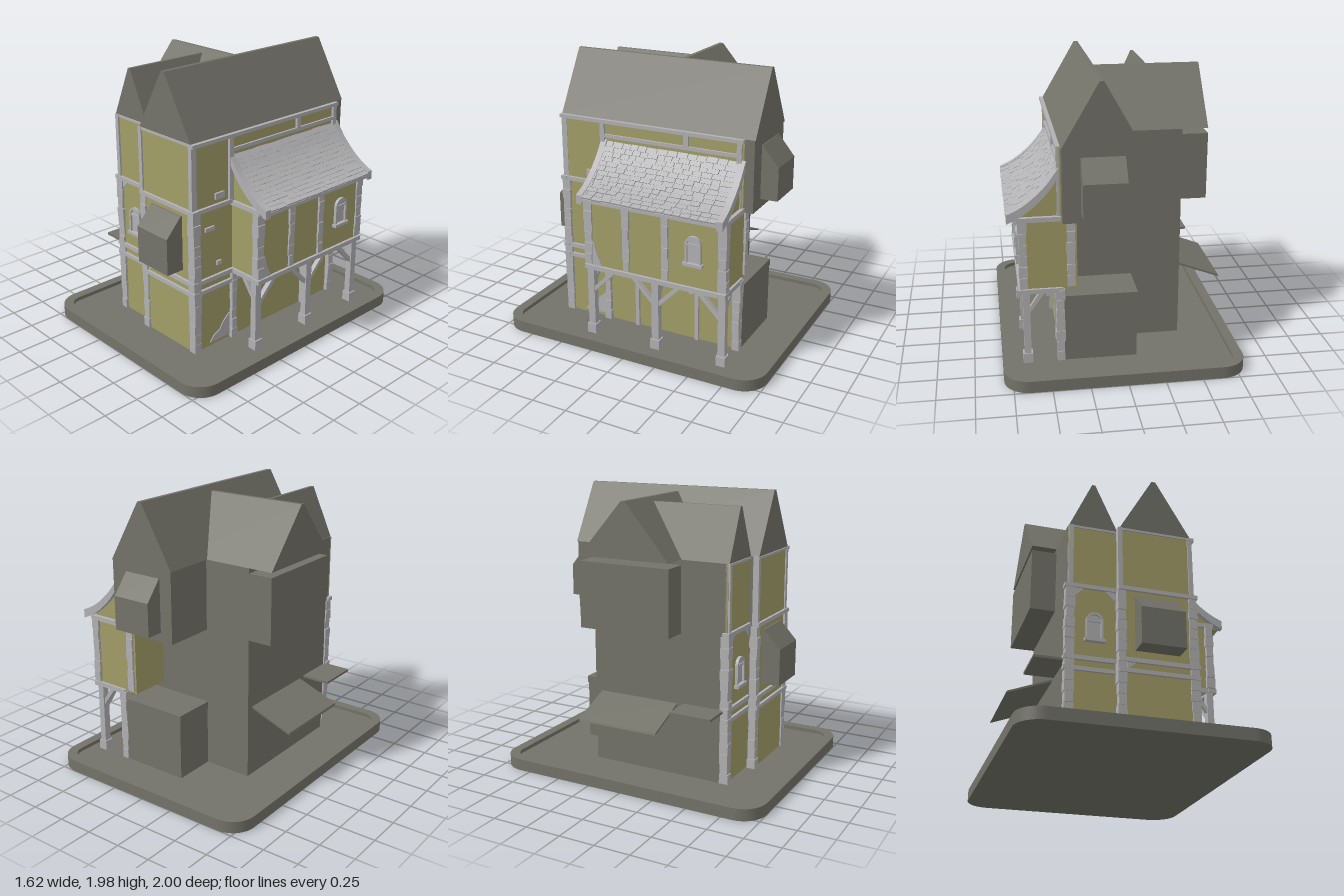
import * as THREE from 'three';

const mat = (name, color) => {
  const m = new THREE.MeshStandardMaterial({ color });
  m.name = name;
  return m;
};

export function createModel() {
  const model = new THREE.Group();
  model.name = 'timberHouse';
  const grey = mat('roofGrey', 0x74736a);
  const plaster = mat('ochrePlaster', 0xa29e68);
  const stone = mat('paleStone', 0xb2b2b4);

  let seed = 7;
  const rnd = () => (seed = (seed * 16807) % 2147483647) / 2147483647;

  const add = (name, geo, m, parent = model) => {
    const mesh = new THREE.Mesh(geo, m);
    mesh.name = name;
    parent.add(mesh);
    return mesh;
  };
  const group = (name) => {
    const g = new THREE.Group();
    g.name = name;
    model.add(g);
    return g;
  };
  // Box given by its limits on each axis
  const block = (name, m, [x0, x1], [y0, y1], [z0, z1], parent) => {
    const g = new THREE.BoxGeometry(x1 - x0, y1 - y0, z1 - z0);
    g.translate((x0 + x1) / 2, (y0 + y1) / 2, (z0 + z1) / 2);
    return add(name, g, m, parent);
  };
  const shapeOf = (pts) => new THREE.Shape(pts.map(([a, b]) => new THREE.Vector2(a, b)));
  const extrude = (shape, depth) =>
    new THREE.ExtrudeGeometry(shape, { depth, bevelEnabled: false, curveSegments: 8 });
  // Profile in x,y swept along z
  const sweepZ = (name, m, pts, z0, z1, parent) =>
    add(name, extrude(shapeOf(pts), z1 - z0).translate(0, 0, z0), m, parent);
  // Profile in z,y swept along x
  const sweepX = (name, m, pts, x0, x1, parent) =>
    add(name, extrude(shapeOf(pts.map(([z, y]) => [-z, y])), x1 - x0)
      .rotateY(Math.PI / 2).translate(x0, 0, 0), m, parent);

  // Base tray with a raised rim
  const rounded = (P, w, d, r) => {
    const s = new P();
    s.moveTo(-w + r, -d);
    s.lineTo(w - r, -d); s.absarc(w - r, -d + r, r, -Math.PI / 2, 0);
    s.lineTo(w, d - r); s.absarc(w - r, d - r, r, 0, Math.PI / 2);
    s.lineTo(-w + r, d); s.absarc(-w + r, d - r, r, Math.PI / 2, Math.PI);
    s.lineTo(-w, -d + r); s.absarc(-w + r, -d + r, r, Math.PI, Math.PI * 1.5);
    return s;
  };
  add('baseFloor', extrude(rounded(THREE.Shape, 0.81, 1, 0.17), 0.055).rotateX(-Math.PI / 2), grey);
  const rim = rounded(THREE.Shape, 0.81, 1, 0.17);
  rim.holes.push(rounded(THREE.Path, 0.74, 0.93, 0.1));
  add('baseRim', extrude(rim, 0.03).rotateX(-Math.PI / 2).translate(0, 0.052, 0), grey);

  // Plain wall volumes
  block('mainBody', grey, [-0.1, 0.4], [0.05, 1.56], [-0.4, 0.67]);
  block('wingBody', grey, [-0.45, -0.1], [0.05, 1.56], [-0.4, 0.61]);
  block('upperBackBody', grey, [-0.1, 0.4], [1.065, 1.56], [-0.765, -0.4]);
  block('sideOverhang', grey, [-0.625, -0.1], [1.065, 1.525], [-0.4, 0.28]);
  block('backShed', grey, [-0.1, 0.4], [0.05, 0.48], [-0.7, -0.4]);
  block('shedLid', grey, [-0.105, 0.4], [0.48, 0.53], [-0.705, -0.4]);
  sweepX('frontOriel', grey, [[0.67, 0.65], [0.81, 0.65], [0.81, 0.91], [0.69, 1.04], [0.67, 1.04]], -0.005, 0.3);
  sweepX('backOriel', grey, [[-0.76, 1.13], [-0.76, 1.5], [-0.77, 1.5], [-0.885, 1.36], [-0.885, 1.13]], -0.005, 0.28);

  // Steep roofs with narrow flat ridges
  const gable = (a0, a1, y, r, w) => [[a0, 1.56], [a1, 1.56], [r + w, y], [r - w, y]];
  sweepZ('mainRoof', grey, gable(-0.107, 0.403, 1.98, 0.145, 0.014), -0.77, 0.685);
  sweepZ('wingRoof', grey, gable(-0.445, -0.107, 1.91, -0.276, 0.011), -0.03, 0.625);
  sweepX('crossRoof', grey, gable(-0.4, 0.28, 1.94, -0.055, 0.014), -0.625, 0.11);

  // Side awnings
  sweepZ('slopedAwning', grey, [[-0.755, 0.44], [-0.75, 0.455], [-0.45, 0.57], [-0.45, 0.555]].reverse(), -0.35, 0.25);
  block('flatAwning', grey, [-0.655, -0.44], [0.56, 0.577], [0.3, 0.6]);

  // Plaster faces and the jettied side room
  const walls = group('plasterWalls');
  block('mainFrontPlaster', plaster, [-0.1, 0.405], [0.05, 1.555], [0.66, 0.678], walls);
  block('wingFrontPlaster', plaster, [-0.45, -0.1], [0.05, 1.555], [0.6, 0.619], walls);
  block('mainSidePlaster', plaster, [0.392, 0.41], [0.05, 0.58], [-0.7, 0.678], walls);
  block('upperSidePlaster', plaster, [0.392, 0.41], [0.58, 1.555], [0.3, 0.678], walls);
  block('topSidePlaster', plaster, [0.392, 0.41], [1.065, 1.555], [-0.7, 0.3], walls);
  block('sideRoom', plaster, [0.3, 0.67], [0.58, 1.09], [-0.69, 0.33], walls);
  sweepZ('sideRoomGable', plaster, [[0.4, 1.08], [0.68, 1.08], [0.58, 1.2], [0.5, 1.29], [0.41, 1.37]], -0.68, 0.325, walls);

  // Rough stone piers: stacked blocks of uneven width
  const stones = group('stonePiers');
  const pier = (x, z, y0, y1, w) => {
    const n = Math.round((y1 - y0) / 0.075), h = (y1 - y0) / n;
    for (let i = 0; i < n; i++) {
      const a = w * (0.9 + 0.3 * rnd()), b = w * (0.9 + 0.3 * rnd());
      block('pierStone', stone, [x - a, x + a], [y0 + i * h, y0 + i * h + h * 0.97], [z - b, z + b], stones);
    }
  };
  pier(-0.43, 0.605, 0.05, 1.08, 0.028);
  pier(-0.095, 0.662, 0.05, 1.08, 0.026);
  pier(0.4, 0.66, 0.05, 1.08, 0.028);
  pier(0.415, -0.68, 0.05, 0.58, 0.026);
  pier(0.415, 0.33, 0.05, 0.58, 0.022);
  for (const z of [0.325, -0.68]) pier(0.655, z, 0.6, 1.07, 0.027);
  for (const z of [0.03, -0.265]) pier(0.66, z, 0.6, 1.07, 0.023);
  pier(0.34, -0.68, 0.6, 1.07, 0.024);

  // Timber frame on the front
  const frame = group('timberFrame');
  const beam = (x, y, z) => block('beam', stone, x, y, z, frame);
  for (const [y, h] of [[0.503, 0.014], [0.578, 0.015], [1.093, 0.014]]) {
    beam([-0.47, -0.11], [y - h, y + h], [0.59, 0.638]);
    beam([-0.12, 0.435], [y - h, y + h], [0.65, 0.697]);
    beam([0.385, 0.43], [y - h, y + h], [0.33, 0.69]);
  }
  for (const [x, z] of [[-0.43, 0.61], [-0.105, 0.668], [0.397, 0.665]]) beam([x - 0.016, x + 0.016], [1.09, 1.56], [z - 0.02, z + 0.022]);
  for (const x of [-0.12, 0.38]) beam([x, x + 0.035], [0.5, 0.58], [0.65, 0.69]);
  beam([-0.45, -0.11], [1.542, 1.558], [0.6, 0.628]);
  beam([-0.11, 0.41], [1.542, 1.558], [0.66, 0.688]);
  for (const s of [-1, 1]) {
    const x = -0.265 + s * 0.145;
    sweepZ('cornerBrace', stone, s < 0
      ? [[x, 1.01], [x + 0.075, 1.08], [x, 1.08]]
      : [[x, 1.01], [x, 1.08], [x - 0.075, 1.08]], 0.615, 0.627, frame);
  }

  // Timber frame on the right side
  beam([0.395, 0.43], [1.535, 1.56], [-0.7, 0.69]);
  beam([0.395, 0.425], [1.435, 1.46], [-0.69, 0.35]);
  for (const [z, y] of [[0.35, 1.09], [-0.29, 1.45], [-0.67, 1.09]]) beam([0.395, 0.428], [y, 1.55], [z - 0.017, z + 0.017]);
  beam([0.395, 0.43], [0.49, 0.517], [-0.7, 0.68]);
  beam([0.395, 0.43], [0.565, 0.593], [-0.7, 0.68]);
  for (const z of [0.09, -0.38]) beam([0.395, 0.43], [0.05, 0.5], [z - 0.014, z + 0.014]);
  // Side room rails, all round its floor and eaves
  for (const y of [0.577, 1.078]) {
    beam([0.63, 0.69], [y - 0.016, y + 0.016], [-0.71, 0.355]);
    for (const z of [0.325, -0.685]) beam([0.4, 0.69], [y - 0.016, y + 0.016], [z - 0.022, z + 0.022]);
  }
  beam([0.4, 0.68], [0.56, 0.59], [-0.2, -0.16]);

  // Free posts with footings and slanted braces
  for (const z of [0.325, -0.18, -0.675]) {
    beam([0.617, 0.663], [0.05, 0.57], [z - 0.026, z + 0.026]);
    beam([0.607, 0.673], [0.05, 0.125], [z - 0.034, z + 0.034]);
  }
  const brace = (z, dir) => sweepX('brace', stone,
    [[z, 0.37], [z, 0.41], [z + dir * 0.15, 0.565], [z + dir * 0.19, 0.565]].slice()[dir > 0 ? 'reverse' : 'slice'](),
    0.622, 0.655, frame);
  brace(0.31, -1); brace(-0.165, 1); brace(-0.195, -1); brace(-0.66, 1);
  for (const z of [0.325, -0.18, -0.675])
    sweepZ('crossBrace', stone, [[0.63, 0.4], [0.63, 0.44], [0.55, 0.565], [0.51, 0.565]], z - 0.014, z + 0.014, frame);

  // Arched windows
  const arch = (P, w, h) => {
    const s = new P();
    s.moveTo(-w, 0); s.lineTo(w, 0); s.lineTo(w, h);
    s.absarc(0, h, w, 0, Math.PI);
    s.lineTo(-w, 0);
    return s;
  };
  const archWindow = (x, y, z, turn) => {
    const g = group('archedWindow');
    const ring = arch(THREE.Shape, 0.058, 0.14);
    ring.holes.push(arch(THREE.Path, 0.042, 0.14));
    add('windowFrame', extrude(ring, 0.022), stone, g);
    add('windowPane', extrude(arch(THREE.Shape, 0.043, 0.14), 0.008), stone, g);
    block('windowSill', stone, [-0.07, 0.07], [-0.012, 0.01], [0, 0.034], g);
    block('windowBar', stone, [-0.045, 0.045], [0.13, 0.145], [0, 0.016], g);
    g.position.set(x, y, z);
    g.rotation.y = turn;
  };
  archWindow(-0.265, 0.71, 0.618, 0);
  archWindow(0.669, 0.76, -0.475, Math.PI / 2);

  // Bare patches and loose stones in the plaster
  sweepX('barePatch', stone, [[0.31, 0.59], [0.31, 0.79], [0.28, 0.75], [0.26, 0.67], [0.22, 0.59]], 0.668, 0.676);
  sweepX('barePatch', stone, [[0.54, 0.08], [0.5, 0.13], [0.45, 0.15], [0.42, 0.2], [0.36, 0.25], [0.36, 0.08]].reverse(), 0.408, 0.416);
  sweepZ('barePatch', stone, [[-0.06, 0.515], [0, 0.565], [-0.06, 0.565]], 0.676, 0.684);
  for (const [z, y, w, h] of [[0.45, 1.16, 0.038, 0.022], [0.54, 0.945, 0.038, 0.014], [0.46, 0.675, 0.021, 0.015], [-0.32, 0.455, 0.04, 0.014], [-0.335, 0.415, 0.02, 0.014]])
    block('looseStone', stone, [0.4, 0.425], [y - h, y + h], [z - w, z + w]);

  // Swept tile roof over the side room
  const roof = group('tileRoof');
  const curve = new THREE.CatmullRomCurve3([[0.415, 1.4], [0.5, 1.285], [0.6, 1.19], [0.68, 1.135], [0.755, 1.1]]
    .map(([x, y]) => new THREE.Vector3(x, y, 0)));
  const pts = curve.getSpacedPoints(13);
  const band = (up, down) => [...pts.map((p) => [p.x, p.y - down]), ...pts.map((p) => [p.x, p.y + up]).reverse()];
  sweepZ('roofDeck', stone, band(0, 0.022), -0.69, 0.34, roof);
  for (const z of [0.34, -0.69]) sweepZ('verge', stone, band(0.022, 0.04), z - 0.022, z + 0.022, roof);
  for (let i = 0; i < 13; i++) {
    const a = pts[i], b = pts[i + 1];
    const len = a.distanceTo(b), angle = Math.atan2(b.y - a.y, b.x - a.x);
    for (let z = -0.67; z < 0.31;) {
      const w = Math.min(0.05 + 0.04 * rnd(), 0.32 - z);
      const tile = add('tile', new THREE.BoxGeometry(len * 1.15, 0.012, w - 0.004), stone, roof);
      tile.position.set((a.x + b.x) / 2, (a.y + b.y) / 2 + 0.005 + 0.005 * rnd(), z + w / 2);
      tile.rotation.z = angle + 0.1;
      z += w;
    }
  }
  for (let i = 0; i < 9; i++) {
    const z = 0.27 - i * 0.11;
    block('rafterEnd', plaster, [0.66, 0.74], [1.075, 1.097], [z - 0.035, z + 0.035], roof);
  }
  return model;
}
